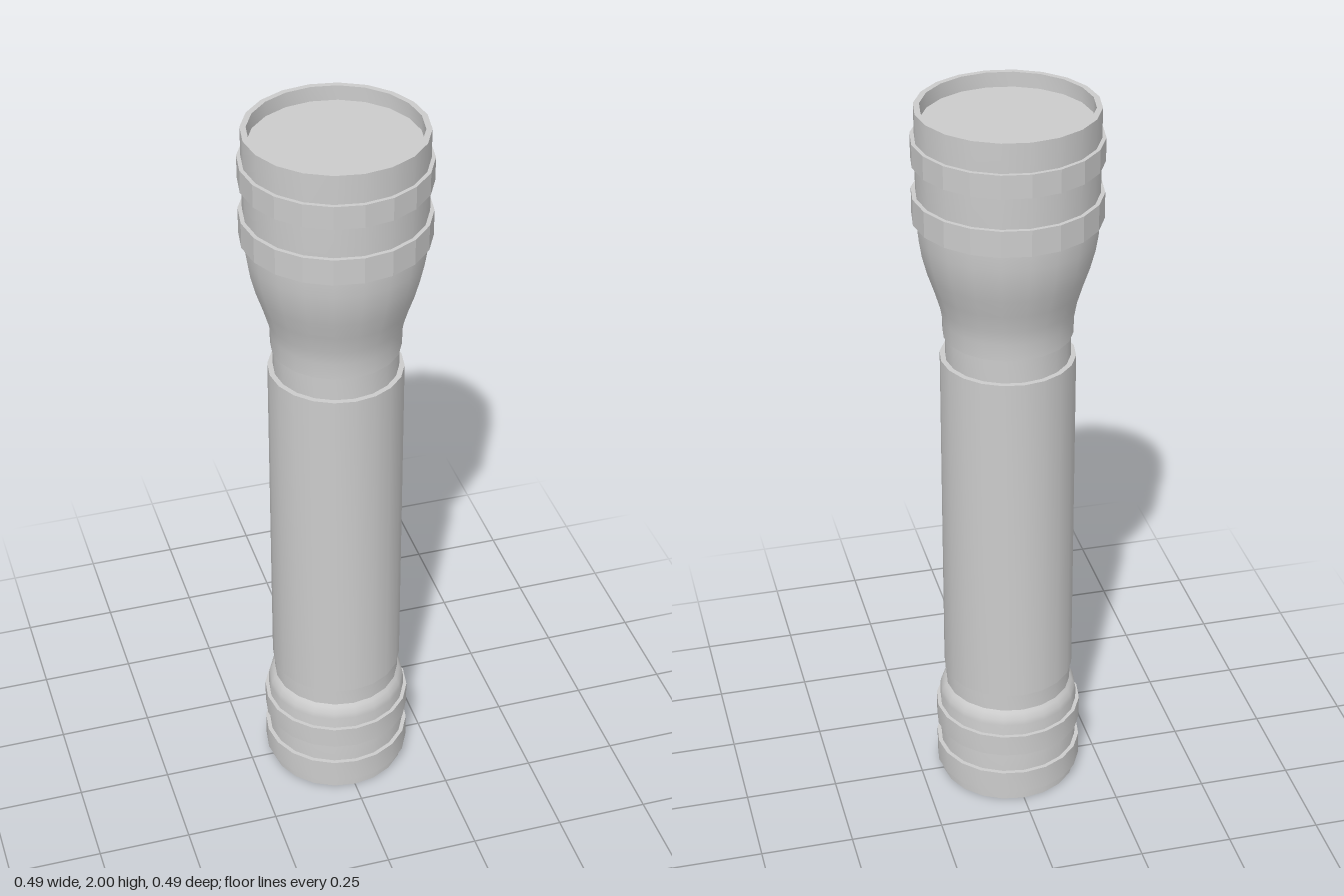
import * as THREE from 'three';
import { toCreasedNormals } from 'three/addons/utils/BufferGeometryUtils.js';

const SIDES = 20;

export function createModel() {
  const group = new THREE.Group();
  group.name = 'flashlight';
  const smooth = new THREE.MeshStandardMaterial({ color: 0xcccccc });
  const faceted = new THREE.MeshStandardMaterial({ color: 0xcccccc, flatShading: true });

  // Turn a [radius, height] outline, listed from bottom to top, around the y axis
  function turned(name, outline, material = smooth) {
    const points = outline.map(([r, y]) => new THREE.Vector2(r, y));
    const lathe = new THREE.LatheGeometry(points, SIDES);
    const mesh = new THREE.Mesh(toCreasedNormals(lathe, Math.PI / 5), material);
    mesh.name = name;
    group.add(mesh);
  }

  // Raised ring around a cap or the head
  function band(name, inner, outer, bottom, top, material) {
    turned(name, [[inner, bottom], [outer, bottom], [outer, top], [inner, top]], material);
  }

  // Tail cap with a rounded shoulder and two grip bands
  turned('tailCap', [
    [0, 0], [0.188, 0], [0.19, 0.255], [0.187, 0.27], [0.179, 0.285], [0.17, 0.295], [0, 0.295],
  ]);
  band('lowerTailBand', 0.18, 0.2, 0.03, 0.098);
  band('upperTailBand', 0.18, 0.2, 0.16, 0.222);

  // Battery tube between two narrower necks
  turned('lowerNeck', [[0.172, 0.28], [0.172, 0.35]]);
  turned('body', [[0, 0.345], [0.177, 0.345], [0.177, 1.313], [0, 1.313]]);
  turned('upperNeck', [[0.163, 1.3], [0.163, 1.4]]);

  // Flared head with a hollow rim
  turned('head', [
    [0, 1.38], [0.169, 1.38], [0.17, 1.425], [0.177, 1.465], [0.192, 1.515],
    [0.209, 1.565], [0.222, 1.615], [0.229, 1.66], [0.232, 1.71], [0.233, 2],
    [0.218, 2], [0.218, 1.955],
  ]);
  band('lowerHeadBand', 0.22, 0.243, 1.705, 1.775, faceted);
  band('upperHeadBand', 0.22, 0.243, 1.86, 1.922, faceted);

  // Flat lens set into the rim
  turned('lens', [[0.218, 1.96], [0, 1.96]]);

  return group;
}
